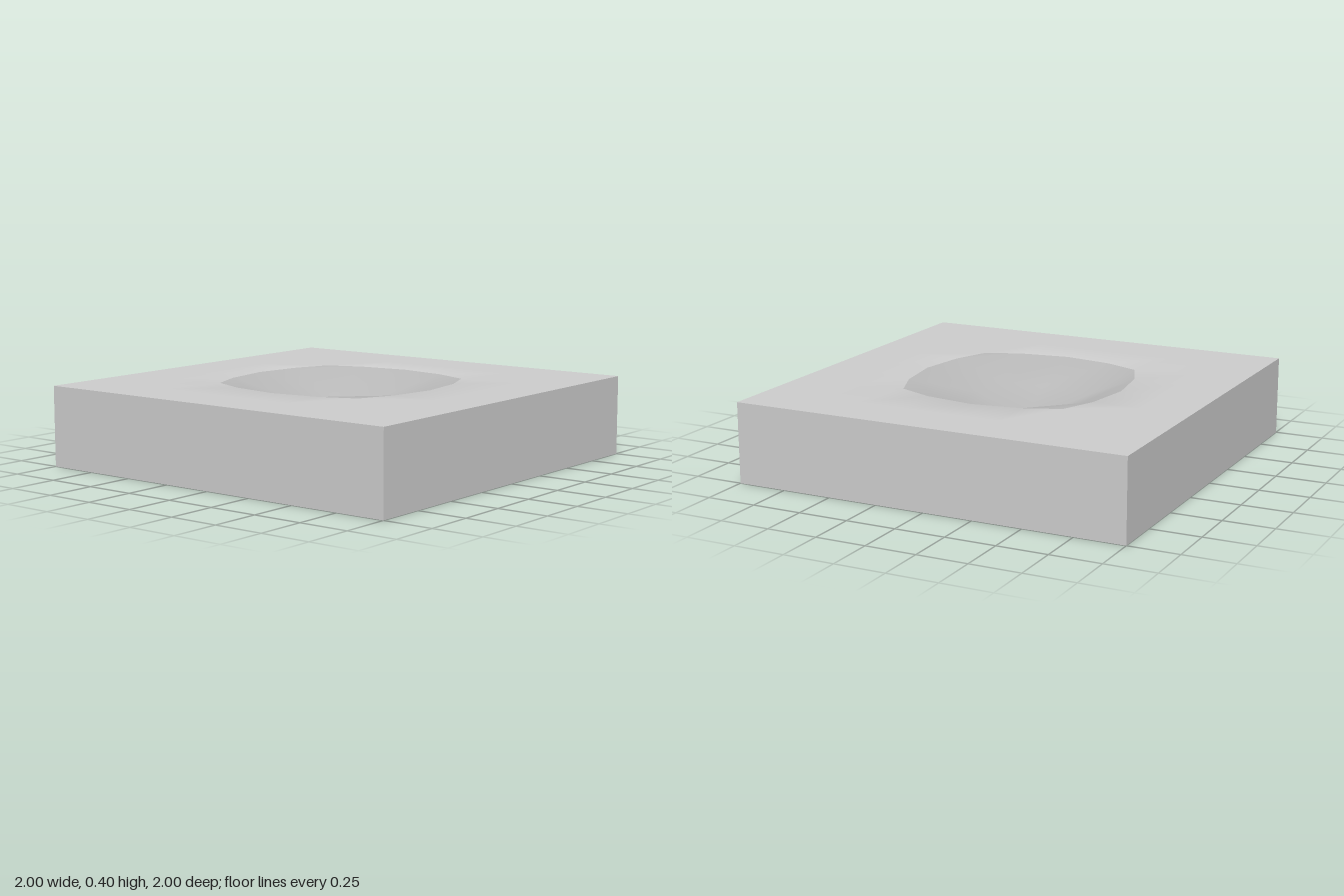
import * as THREE from 'three';

const TOP = 0.4, N = 8;

export function createModel() {
  const group = new THREE.Group();
  const grey = new THREE.MeshStandardMaterial({ color: 0xcccccc, side: THREE.DoubleSide });
  const dark = new THREE.MeshStandardMaterial({ color: 0xb8b8b8, side: THREE.DoubleSide });

  // Ground grid: the ring of vertices at 0.5 is rounded off, those inside it are sunk
  const ground = new THREE.PlaneGeometry(2, 2, N, N).rotateX(-Math.PI / 2);
  const pos = ground.attributes.position;
  for (let i = 0; i < pos.count; i++) {
    const x = pos.getX(i), z = pos.getZ(i);
    const ring = Math.round(Math.max(Math.abs(x), Math.abs(z)) * 4);
    let px = x, pz = z, y = TOP;
    if (ring === 2) {
      const corner = Math.abs(x) > 0.4 && Math.abs(z) > 0.4;
      const onAxis = Math.abs(x) < 0.1 || Math.abs(z) < 0.1;
      const scale = corner ? 0.855 : onAxis ? 1.075 : 1;
      px *= scale;
      pz *= scale;
    } else if (ring === 1) {
      y -= 0.11 - 0.07 * (x + z) * (x * z === 0 ? 1 : 0.5);
    } else if (ring === 0) {
      y -= 0.22;
    }
    pos.setXYZ(i, px, y, pz);
  }
  ground.computeVertexNormals();

  // Divide the cells into the hollow (central 4 x 4) and the level ground around it
  const cells = { hollow: [], groundSurface: [] };
  const index = ground.index.array;
  for (let c = 0; c < N * N; c++) {
    const col = c % N, row = Math.floor(c / N);
    const inside = col >= 2 && col < 6 && row >= 2 && row < 6;
    cells[inside ? 'hollow' : 'groundSurface'].push(...index.slice(c * 6, c * 6 + 6));
  }
  for (const [name, faces] of Object.entries(cells)) {
    const geometry = ground.clone();
    geometry.setIndex(faces);
    const mesh = new THREE.Mesh(geometry, name === 'hollow' ? dark : grey);
    mesh.name = name;
    group.add(mesh);
  }

  // Four side walls, open underneath
  for (let i = 0; i < 4; i++) {
    const geometry = new THREE.PlaneGeometry(2, TOP).translate(0, TOP / 2, 1);
    const wall = new THREE.Mesh(geometry, grey);
    wall.rotation.y = i * Math.PI / 2;
    wall.name = 'sideWall';
    group.add(wall);
  }
  return group;
}
